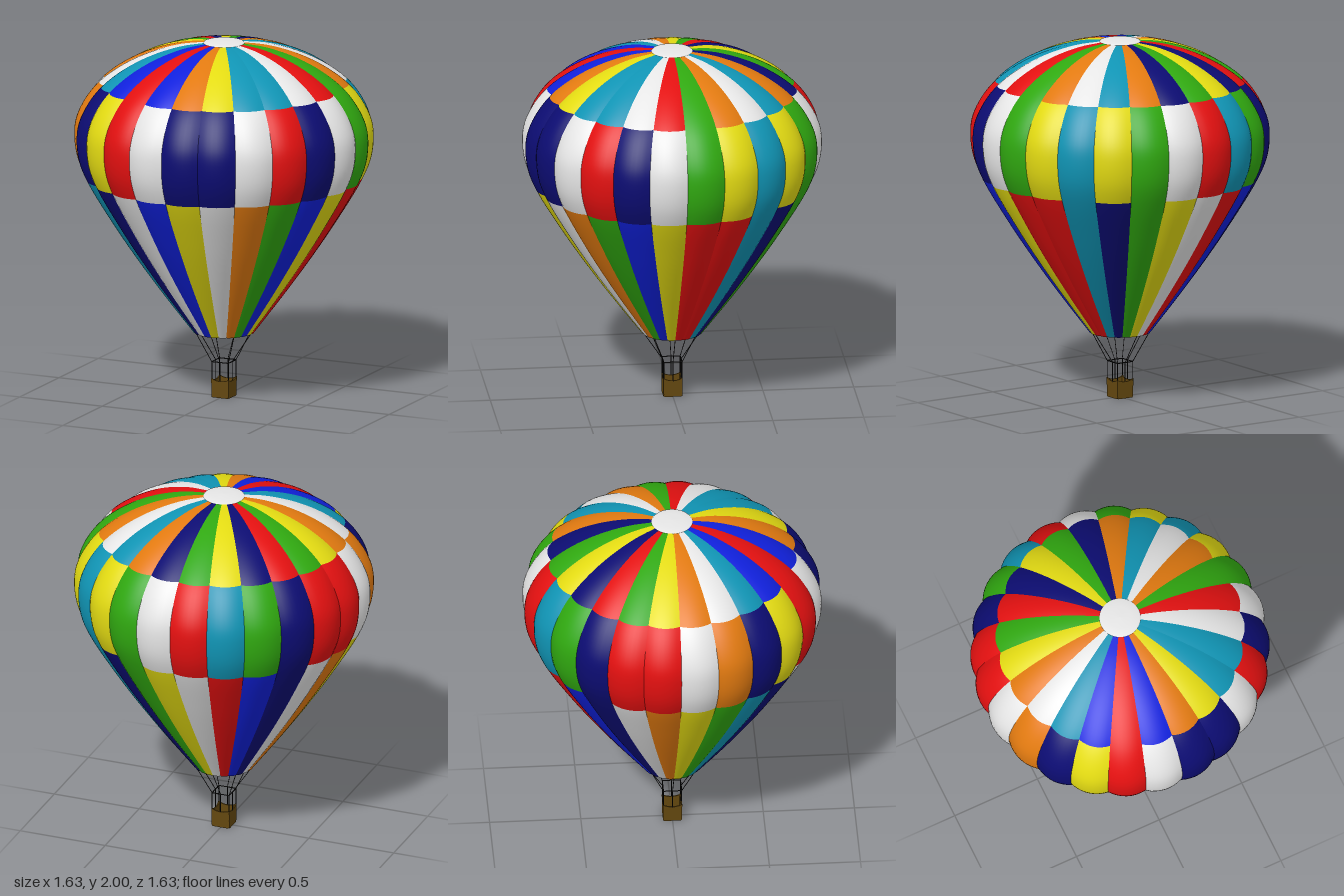
import * as THREE from 'three';

const mat = (name, color, side = THREE.DoubleSide) => {
  const m = new THREE.MeshStandardMaterial({ color, side });
  m.name = name;
  return m;
};

export function createModel() {
  const model = new THREE.Group();
  model.name = 'hotAirBalloon';

  const fabric = {
    r: mat('red', 0xe31010), o: mat('orange', 0xe27a10), y: mat('yellow', 0xe3db12),
    g: mat('green', 0x30a810), t: mat('teal', 0x1094b4), b: mat('blue', 0x1020dc),
    n: mat('navy', 0x0c0c72), w: mat('white', 0xe6e6e6),
  };
  const wicker = mat('wickerBrown', 0x63470f);
  const rope = mat('ropeBlack', 0x111111);

  // Fabric colour of each gore, running from +x towards +z
  const GORES = 24;
  const crownColours = 'rwttyobrbtwoygrnygnotwog';
  const middleColours = 'wnrwnnwrynowrrngtrwgytyg';
  const lowerColours = 'ybgowybwntgyownbrwygntrr';

  // Envelope profile [radius, height]; bands meet at the 5th and 10th points
  const profile = new THREE.CatmullRomCurve3([
    [0.1, 1.99], [0.25, 1.971], [0.42, 1.92], [0.565, 1.848], [0.683, 1.76],
    [0.757, 1.67], [0.806, 1.57], [0.82, 1.485], [0.808, 1.36], [0.762, 1.24],
    [0.62, 1.0], [0.488, 0.8], [0.338, 0.59], [0.168, 0.365],
  ].map(([r, y]) => new THREE.Vector3(r, y, 0)));
  const STEPS = 4, ROWS = 13 * STEPS, COLS = 8;
  const bandRows = [0, 4 * STEPS, 9 * STEPS, ROWS];

  // One billowing gore, split into three colour groups
  const positions = [], index = [];
  for (let j = 0; j <= ROWS; j++) {
    const p = profile.getPoint(j / ROWS);
    for (let i = 0; i <= COLS; i++) {
      const u = (i / COLS) * 2 - 1;
      const r = p.x * (1 - 0.028 * u * u);
      const a = (i / COLS) * (Math.PI * 2 / GORES);
      positions.push(r * Math.cos(a), p.y, r * Math.sin(a));
    }
  }
  for (let j = 0; j < ROWS; j++) {
    for (let i = 0; i < COLS; i++) {
      const a = j * (COLS + 1) + i, b = a + COLS + 1;
      index.push(a + 1, b + 1, b, a + 1, b, a);
    }
  }
  const gore = new THREE.BufferGeometry();
  gore.setAttribute('position', new THREE.Float32BufferAttribute(positions, 3));
  gore.setIndex(index);
  gore.computeVertexNormals();
  for (let k = 0; k < 3; k++) {
    gore.addGroup(bandRows[k] * COLS * 6, (bandRows[k + 1] - bandRows[k]) * COLS * 6, k);
  }

  const envelope = new THREE.Group();
  envelope.name = 'envelope';
  model.add(envelope);
  for (let k = 0; k < GORES; k++) {
    const colours = [crownColours, middleColours, lowerColours].map((s) => fabric[s[k]]);
    const mesh = new THREE.Mesh(gore, colours);
    mesh.name = 'gore';
    mesh.rotation.y = -k * Math.PI * 2 / GORES;
    envelope.add(mesh);
  }

  // Round crown cap
  const cap = new THREE.Mesh(new THREE.LatheGeometry([
    new THREE.Vector2(0.113, 1.988), new THREE.Vector2(0.108, 1.994),
    new THREE.Vector2(0.06, 1.998), new THREE.Vector2(0, 2),
  ], 48), fabric.w);
  cap.name = 'crownCap';
  envelope.add(cap);

  // Rigging: square frame, uprights and suspension ropes
  const rigging = new THREE.Group();
  rigging.name = 'rigging';
  model.add(rigging);
  const line = (name, a, b, radius = 0.0025) => {
    const mesh = new THREE.Mesh(
      new THREE.TubeGeometry(new THREE.LineCurve3(a, b), 1, radius, 6), rope);
    mesh.name = name;
    rigging.add(mesh);
  };
  const HALF = 0.05;
  const squarePoint = (k, y) => {
    const a = k * Math.PI / 4, c = Math.cos(a), s = Math.sin(a);
    const d = HALF / Math.max(Math.abs(c), Math.abs(s));
    return new THREE.Vector3(c * d, y, s * d);
  };
  for (let k = 0; k < 8; k++) {
    const a = k * Math.PI / 4;
    const mouth = new THREE.Vector3(Math.cos(a) * 0.163, 0.368, Math.sin(a) * 0.163);
    line('frameBar', squarePoint(k, 0.2), squarePoint(k + 1, 0.2), 0.003);
    line('upright', squarePoint(k, 0.085), squarePoint(k, 0.2));
    line('suspensionRope', squarePoint(k, 0.2), mouth, 0.002);
  }

  // Basket: four walls with dipped rims, and a floor
  const basket = new THREE.Group();
  basket.name = 'basket';
  model.add(basket);
  const W = 0.053;
  const wall = new THREE.Shape();
  wall.moveTo(-W + 0.008, 0);
  wall.lineTo(W - 0.008, 0);
  wall.quadraticCurveTo(W - 0.003, 0.002, W - 0.002, 0.012);
  wall.lineTo(W, 0.106);
  wall.quadraticCurveTo(0, 0.08, -W, 0.106);
  wall.lineTo(-W + 0.002, 0.012);
  wall.quadraticCurveTo(-W + 0.003, 0.002, -W + 0.008, 0);
  const wallGeometry = new THREE.ExtrudeGeometry(wall, { depth: 0.007, bevelEnabled: false });
  wallGeometry.translate(0, 0, W - 0.008);
  for (let k = 0; k < 4; k++) {
    const side = new THREE.Mesh(wallGeometry, wicker);
    side.name = 'basketWall';
    side.rotation.y = k * Math.PI / 2;
    basket.add(side);
  }
  const floor = new THREE.Mesh(new THREE.BoxGeometry(0.092, 0.008, 0.092), wicker);
  floor.name = 'basketFloor';
  floor.position.y = 0.005;
  basket.add(floor);

  return model;
}
